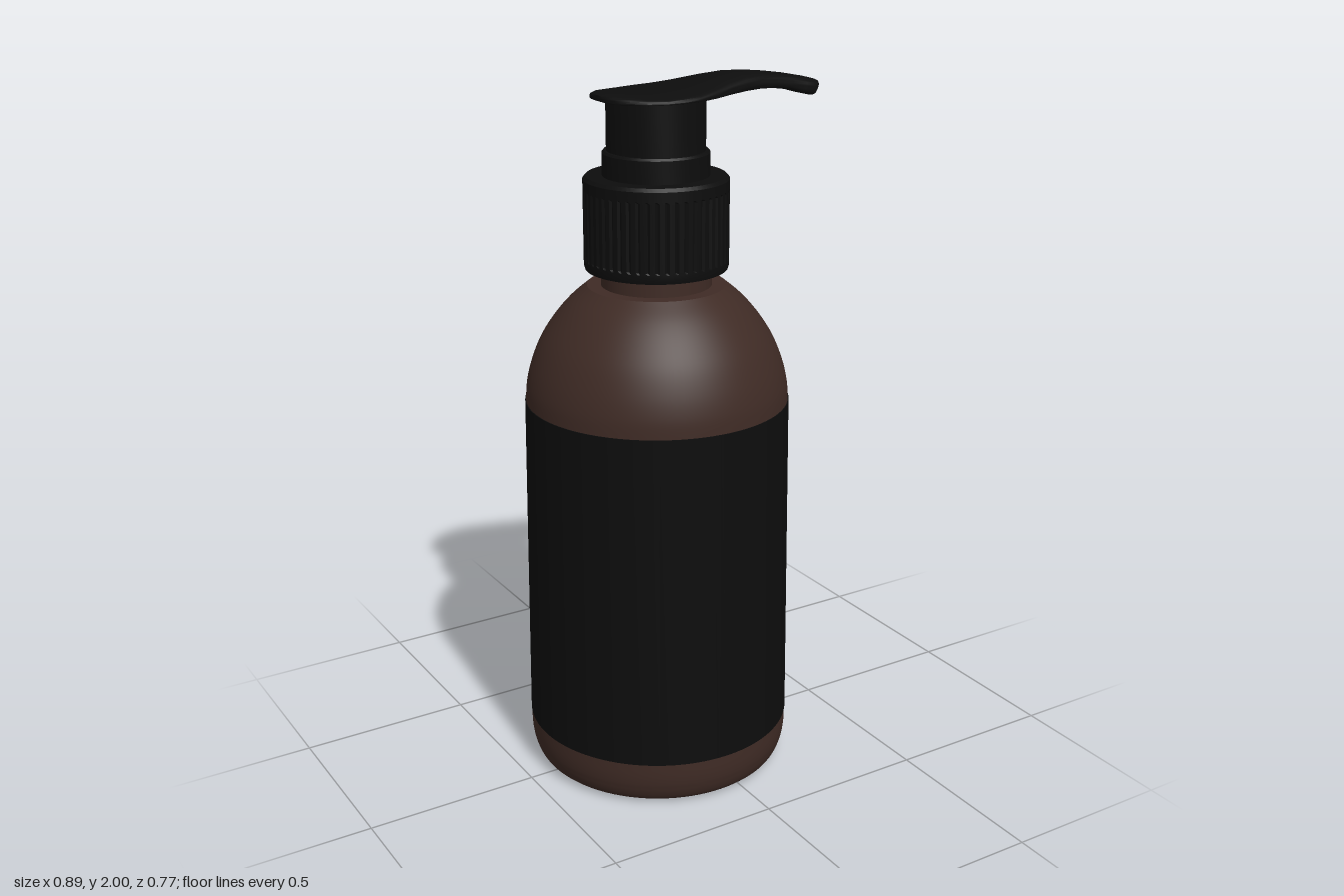
import * as THREE from 'three';
import { toCreasedNormals } from 'three/addons/utils/BufferGeometryUtils.js';

const AXIS_X = -0.066;
const brown = new THREE.MeshStandardMaterial({ color: 0x3f2b25 });
const black = new THREE.MeshStandardMaterial({ color: 0x0d0d0d });

const vec = (pairs) => pairs.map(([r, y]) => new THREE.Vector2(r, y));
const smooth = (pairs, n) => new THREE.SplineCurve(vec(pairs)).getPoints(n);

function turned(name, points, material, segments = 96) {
  const geometry = toCreasedNormals(new THREE.LatheGeometry(points, segments), 0.6);
  const mesh = new THREE.Mesh(geometry, material);
  mesh.name = name;
  mesh.position.x = AXIS_X;
  return mesh;
}

// Collar with fine vertical grooves pressed into its outer wall
function ribbedCollar() {
  const ribs = 48;
  const points = vec([
    [0.155, 1.52], [0.175, 1.52], [0.18, 1.485], [0.197, 1.485], [0.2, 1.495],
    [0.2, 1.51], [0.2, 1.515], [0.2, 1.7], [0.2, 1.705],
    [0.2, 1.732], [0.192, 1.741], [0.14, 1.741],
  ]);
  const geometry = new THREE.LatheGeometry(points, ribs * 4);
  const p = geometry.attributes.position;
  for (let i = 0; i < p.count; i++) {
    const row = i % points.length;
    const column = Math.floor(i / points.length);
    if ((row === 6 || row === 7) && column % 4 === 0) {
      p.setX(i, p.getX(i) * 0.975);
      p.setZ(i, p.getZ(i) * 0.975);
    }
  }
  const mesh = new THREE.Mesh(toCreasedNormals(geometry, 0.5), black);
  mesh.name = 'ribbedCollar';
  mesh.position.x = AXIS_X;
  return mesh;
}

// Pump head lofted along x: [x, half width, top y, bottom y, centre z]
function pumpHead() {
  const stations = [
    [-0.245, 0, 1.96, 1.96, -0.003],
    [-0.243, 0.03, 1.967, 1.952, -0.003],
    [-0.228, 0.068, 1.971, 1.947, -0.003],
    [-0.2, 0.1, 1.971, 1.946, -0.003],
    [-0.16, 0.127, 1.968, 1.945, -0.003],
    [-0.11, 0.145, 1.967, 1.945, -0.003],
    [-0.065, 0.149, 1.969, 1.945, -0.003],
    [-0.01, 0.142, 1.973, 1.945, -0.002],
    [0.05, 0.124, 1.982, 1.946, 0],
    [0.11, 0.103, 1.993, 1.949, 0.002],
    [0.17, 0.084, 2, 1.952, 0.004],
    [0.23, 0.067, 1.998, 1.953, 0.006],
    [0.28, 0.054, 1.993, 1.95, 0.009],
    [0.34, 0.046, 1.984, 1.942, 0.011],
    [0.4, 0.043, 1.972, 1.929, 0.012],
    [0.435, 0.043, 1.963, 1.921, 0.013],
    [0.44, 0.04, 1.961, 1.923, 0.013],
    [0.44, 0, 1.942, 1.942, 0.013],
  ];
  const sides = 40;
  const power = (v, e) => Math.sign(v) * Math.abs(v) ** e;
  const positions = [];
  const index = [];
  stations.forEach(([x, w, top, bottom, zc], i) => {
    const rim = bottom + (top - bottom) * 0.3;
    const skew = 0.55 * THREE.MathUtils.smoothstep(x, 0.3, 0.42);
    for (let j = 0; j < sides; j++) {
      const a = (j / sides) * Math.PI * 2;
      const s = Math.sin(a);
      const y = s > 0 ? rim + (top - rim) * power(s, 0.75) : rim + (rim - bottom) * power(s, 0.4);
      positions.push(x + skew * (y - top), y, zc + w * power(Math.cos(a), 0.75));
      if (i < stations.length - 1) {
        const k = (j + 1) % sides;
        const A = i * sides + j, B = A + sides, C = (i + 1) * sides + k, D = i * sides + k;
        index.push(A, B, C, A, C, D);
      }
    }
  });
  const geometry = new THREE.BufferGeometry();
  geometry.setAttribute('position', new THREE.Float32BufferAttribute(positions, 3));
  geometry.setIndex(index);
  const mesh = new THREE.Mesh(toCreasedNormals(geometry, 0.8), black);
  mesh.name = 'pumpHead';
  return mesh;
}

export function createModel() {
  const model = new THREE.Group();
  model.name = 'pumpBottle';

  // Bottle: dished base, slightly tapered wall, domed shoulder, neck
  const base = smooth([[0.335, 0], [0.36, 0.015], [0.375, 0.05], [0.381, 0.09], [0.381, 0.135]], 16);
  const shoulder = smooth([
    [0.37, 1.11], [0.366, 1.16], [0.351, 1.22], [0.324, 1.285],
    [0.286, 1.344], [0.242, 1.395], [0.193, 1.437],
  ], 28);
  model.add(turned('bottle', [
    ...vec([[0, 0.022], [0.2, 0.02], [0.28, 0.013], [0.315, 0]]),
    ...base, ...shoulder, ...vec([[0.154, 1.437], [0.154, 1.53]]),
  ], brown));

  // Wrapped label
  model.add(turned('label', vec([
    [0.376, 0.135], [0.383, 0.135], [0.3725, 1.11], [0.366, 1.11],
  ]), black));

  // Pump: collar, step ring, stem and head
  model.add(ribbedCollar());
  model.add(turned('stepRing', vec([
    [0.147, 1.735], [0.147, 1.803], [0.142, 1.809], [0.125, 1.809],
  ]), black, 64));
  model.add(turned('stem', vec([[0.135, 1.8], [0.135, 1.955]]), black, 64));
  model.add(pumpHead());

  return model;
}
